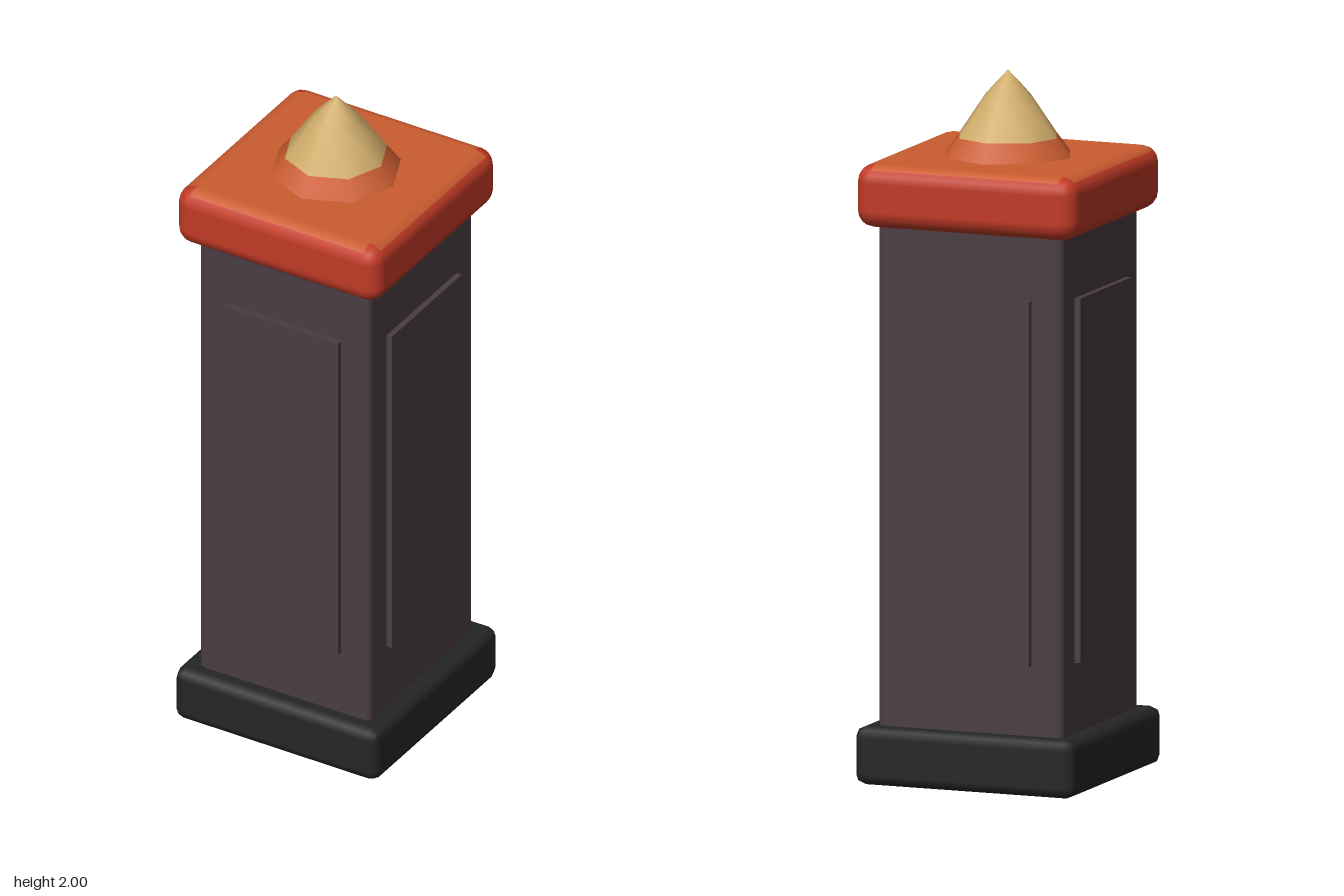
import * as THREE from 'three';
import { RoundedBoxGeometry } from 'three/addons/geometries/RoundedBoxGeometry.js';

const paint = (name, color) => {
  const m = new THREE.MeshStandardMaterial({ color });
  m.name = name;
  return m;
};

export function createModel() {
  const stone = paint('dark stone', 0x4a3d43);
  const black = paint('black base', 0x242625);
  const red = paint('red', 0xc23a26);
  const orange = paint('orange', 0xcb5c30);
  const gold = paint('gold', 0xd0ac6a);

  const model = new THREE.Group();
  model.name = 'pillar';
  const add = (name, geometry, material, y = 0) => {
    const mesh = new THREE.Mesh(geometry, material);
    mesh.name = name;
    mesh.position.y = y;
    model.add(mesh);
    return mesh;
  };

  // Base plinth and square shaft with softened edges
  add('base', new RoundedBoxGeometry(0.666, 0.165, 0.666, 1, 0.03), black, 0.0825);
  add('shaft', new RoundedBoxGeometry(0.56, 1.46, 0.56, 2, 0.02), stone, 0.87);

  // One raised panel on each side
  for (let i = 0; i < 4; i++) {
    const panel = new THREE.BoxGeometry(0.375, 1.035, 0.03);
    panel.translate(0, 0, 0.282);
    add('panel' + (i + 1), panel, stone, 0.8825).rotation.y = i * Math.PI / 2;
  }

  // Rounded cap: the top is orange out to the middle of the bevel, corners stay red
  const capGeo = new RoundedBoxGeometry(0.666, 0.18, 0.666, 2, 0.05);
  const pos = capGeo.attributes.position;
  const perSide = pos.count / 6;
  capGeo.clearGroups();
  for (let i = 0; i < pos.count; i += 3) {
    const mean = (axis) => Math.abs(pos[axis](i) + pos[axis](i + 1) + pos[axis](i + 2)) / 3;
    const onTop = Math.floor(i / perSide) === 2;
    const corner = mean('getX') > 0.283 && mean('getZ') > 0.283;
    capGeo.addGroup(i, 3, onTop && !corner ? 1 : 0);
  }
  add('cap', capGeo, [red, orange], 1.67);

  // Eight-sided finial with an orange foot and a gold point
  const lathe = (points) =>
    new THREE.LatheGeometry(points.map(([r, y]) => new THREE.Vector2(r, y)), 8);
  add('finialFoot', lathe([[0.187, 1.755], [0.187, 1.76], [0.147, 1.813]].slice(1)), orange);
  add('finialPoint', lathe([[0.147, 1.813], [0.07, 1.925], [0.035, 1.964], [0, 2]]), gold);

  return model;
}
